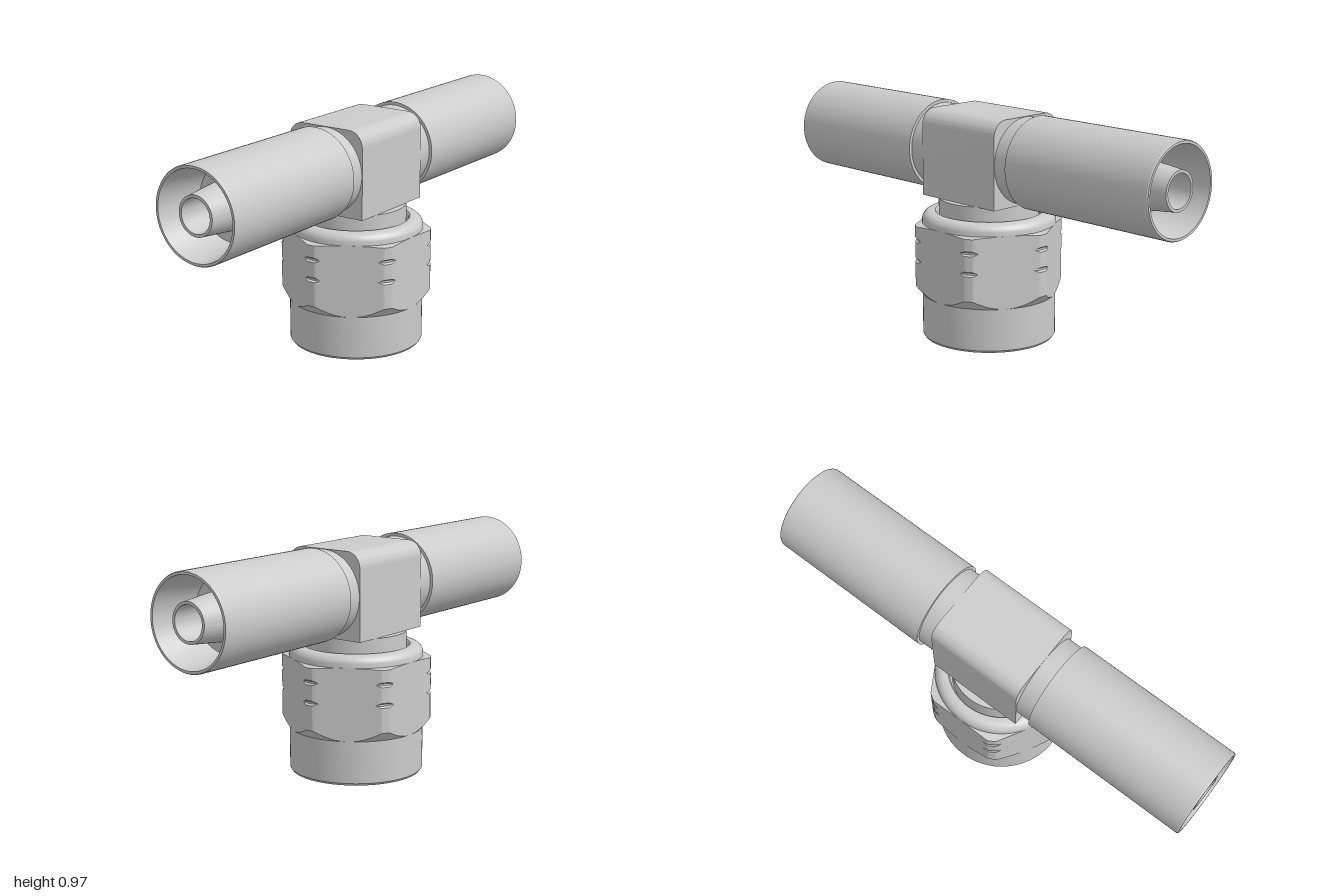
import * as THREE from 'three';
import { toCreasedNormals } from 'three/addons/utils/BufferGeometryUtils.js';

const AXIS_Y = 0.777;   // height of the cross tube
const FLAT = 0.28;      // hex centre to flat
const CORNER = 0.313;   // turned radius of the hex corners
const GROOVE = 0.303;   // bottom radius of the corner grooves

const material = new THREE.MeshStandardMaterial({ color: 0xcccccc });

function addMesh(parent, name, geometry, crease = 0.5) {
  const mesh = new THREE.Mesh(toCreasedNormals(geometry, crease), material);
  mesh.name = name;
  parent.add(mesh);
  return mesh;
}

// Turned part from [radius, height] pairs
function turned(points) {
  return new THREE.LatheGeometry(points.map(([r, y]) => new THREE.Vector2(r, y)), 80);
}

// Rounded-top block, bored along x
function blockGeometry() {
  const w = 0.18, bottom = 0.595, top = 0.957, r = 0.065;
  const s = new THREE.Shape();
  s.moveTo(-w, bottom);
  s.lineTo(w, bottom);
  s.lineTo(w, top - r);
  s.absarc(w - r, top - r, r, 0, Math.PI / 2, false);
  s.absarc(-w + r, top - r, r, Math.PI / 2, Math.PI, false);
  s.closePath();
  s.holes.push(new THREE.Path().absarc(0, AXIS_Y, 0.068, 0, Math.PI * 2, true));
  return new THREE.ExtrudeGeometry(s, { depth: 0.42, bevelEnabled: false, curveSegments: 16 })
    .translate(0, 0, -0.21).rotateY(Math.PI / 2);
}

// Hex band with turned corners, cone chamfers and lens-shaped corner grooves
function hexGeometry() {
  const columns = 240, sector = Math.PI / 3;
  const positions = [], index = [];
  let rows = 0;
  for (let i = 0; i <= columns; i++) {
    const a = ((i % columns) / columns) * Math.PI * 2;
    const R = Math.min(FLAT / Math.cos((a % sector) - sector / 2), CORNER);
    const rise = R - FLAT;
    const profile = [[FLAT - 0.001, 0.185], [R, 0.186 + rise * 1.2]];
    for (const y of [0.34, 0.425]) {
      const h = Math.max(0, R - GROOVE);
      const deep = Math.min(R, GROOVE);
      profile.push([R, y - h], [deep, y - h * 0.4], [deep, y + h * 0.4], [R, y + h]);
    }
    profile.push([R, 0.491 - rise * 0.15], [FLAT - 0.02, 0.492]);
    rows = profile.length;
    for (const [r, y] of profile) positions.push(r * Math.cos(a), y, r * Math.sin(a));
  }
  for (let i = 0; i < columns; i++) {
    for (let j = 0; j < rows - 1; j++) {
      const p = i * rows + j, q = p + rows;
      index.push(p, p + 1, q, p + 1, q + 1, q);
    }
  }
  const g = new THREE.BufferGeometry();
  g.setAttribute('position', new THREE.Float32BufferAttribute(positions, 3));
  g.setIndex(index);
  return g;
}

export function createModel() {
  const model = new THREE.Group();
  model.name = 'teeConnector';

  addMesh(model, 'body', blockGeometry());

  // Two mirrored sockets: neck, outer shell, tapered inner sleeve and bore
  const socket = [
    [0.068, 0.2], [0.178, 0.2], [0.178, 0.28], [0.191, 0.28], [0.191, 0.995], [0.188, 1],
    [0.178, 1], [0.15, 0.8], [0.1, 0.8], [0.08, 0.995], [0.068, 0.995], [0.068, 0.2],
  ];
  for (const side of [1, -1]) {
    const arm = addMesh(model, side > 0 ? 'leftSocket' : 'rightSocket', turned(socket), 0.3);
    arm.rotation.z = -side * Math.PI / 2;
    arm.position.y = AXIS_Y;
  }

  // Collar below the body, carrying the hollow inner sleeve
  addMesh(model, 'collar', turned([[0, 0.4], [0.21, 0.4], [0.21, 0.595], [0, 0.595]]));
  addMesh(model, 'innerSleeve', turned([
    [0.104, 0.095], [0.117, 0.095], [0.117, 0.42], [0.104, 0.42], [0.104, 0.095],
  ]));

  // Coupling nut: barrel with a rounded lip, and the hex grip
  const nut = new THREE.Group();
  nut.name = 'couplingNut';
  model.add(nut);
  const lip = [];
  for (let i = 0; i <= 8; i++) {
    const a = (i / 8) * Math.PI / 2;
    lip.push([0.242 + 0.038 * Math.cos(a), 0.5 + 0.038 * Math.sin(a)]);
  }
  addMesh(nut, 'barrel', turned([
    [0.24, 0], [0.273, 0], [FLAT, 0.01], [FLAT, 0.186], [0.27, 0.2], [0.27, 0.485], [FLAT, 0.488],
    ...lip, [0.225, 0.538], [0.22, 0.53], [0.22, 0.02], [0.24, 0],
  ]));
  addMesh(nut, 'hexGrip', hexGeometry(), 0.3);
  addMesh(nut, 'boreCeiling', turned([[0.1, 0.4], [0.225, 0.4], [0.225, 0.47], [0.1, 0.47]]));

  return model;
}
